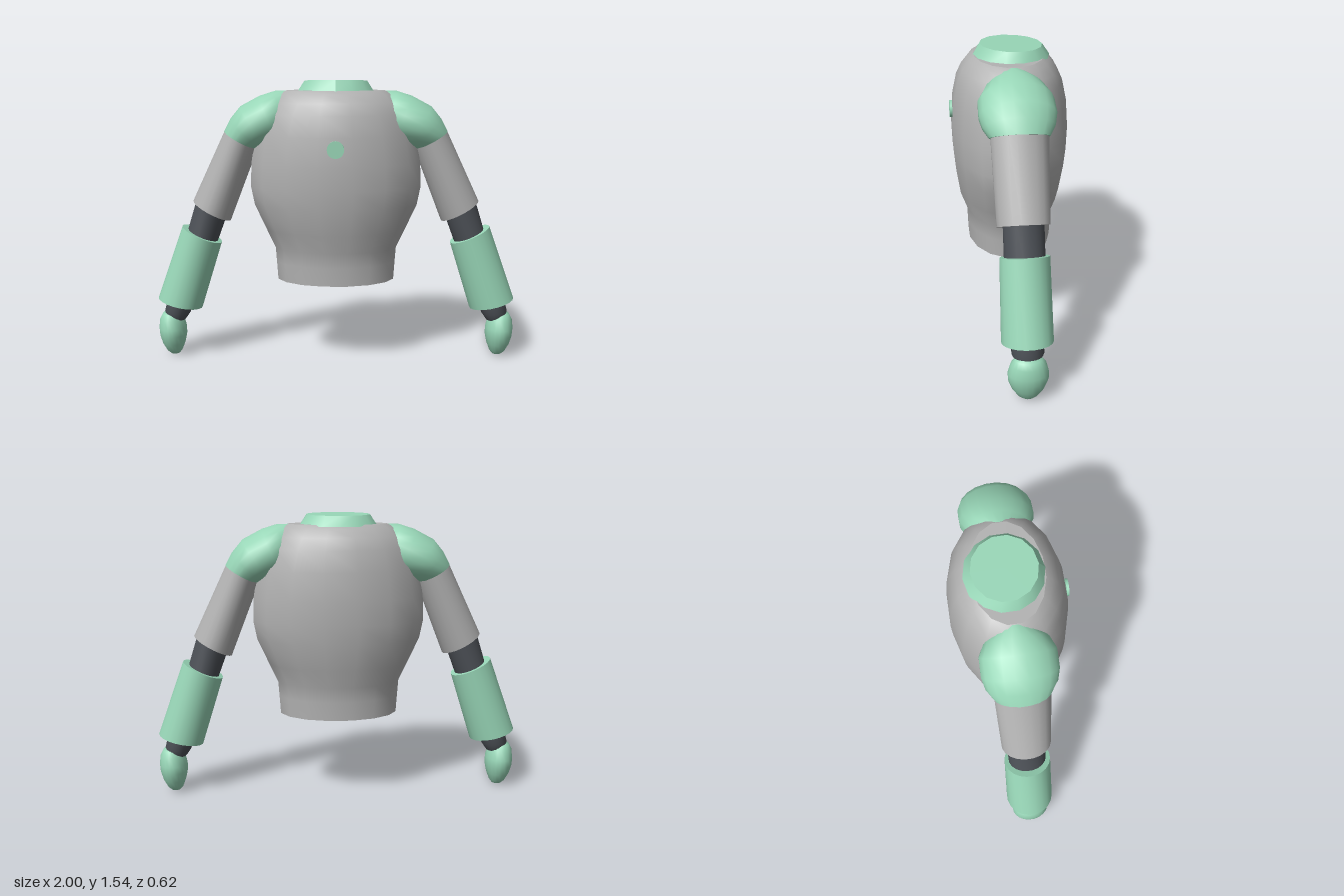
import * as THREE from 'three';

const mat = (name, color) => {
  const m = new THREE.MeshStandardMaterial({ color });
  m.name = name;
  return m;
};

// Closed smooth loft through elliptical sections [x1, y1, x2, y2, rz]:
// (x1, y1) and (x2, y2) are the ellipse's two ends in the z = 0 plane.
// side = -1 mirrors it across x.
function loft(sections, side = 1, n = 20) {
  const pos = [], index = [];
  const ring = ([x1, y1, x2, y2, rz]) => {
    const a = side > 0 ? [x1, y1] : [-x2, y2];
    const b = side > 0 ? [x2, y2] : [-x1, y1];
    const start = pos.length / 3;
    for (let i = 0; i < n; i++) {
      const t = ((i + 0.5) / n) * Math.PI * 2;
      const k = (1 + Math.cos(t)) / 2;
      pos.push(b[0] + (a[0] - b[0]) * k, b[1] + (a[1] - b[1]) * k, rz * Math.sin(t));
    }
    return start;
  };
  const rings = sections.map(ring);
  for (let s = 0; s < rings.length - 1; s++) {
    for (let i = 0; i < n; i++) {
      const j = (i + 1) % n, a = rings[s], b = rings[s + 1];
      index.push(a + i, a + j, b + i, a + j, b + j, b + i);
    }
  }
  // End caps with their own vertices, so the rims stay sharp
  [sections[0], sections[sections.length - 1]].forEach((sec, end) => {
    const r = ring(sec), c = pos.length / 3;
    pos.push((side * (sec[0] + sec[2])) / 2, (sec[1] + sec[3]) / 2, 0);
    for (let i = 0; i < n; i++) {
      const j = (i + 1) % n;
      if (end) index.push(c, r + i, r + j);
      else index.push(c, r + j, r + i);
    }
  });
  const g = new THREE.BufferGeometry();
  g.setAttribute('position', new THREE.Float32BufferAttribute(pos, 3));
  g.setIndex(index);
  g.computeVertexNormals();
  return g;
}

// Upright section centred on x
const level = (x, y, rx, rz) => [x + rx, y, x - rx, y, rz];

export function createModel() {
  const mint = mat('mint', 0x98d6b7);
  const grey = mat('light grey', 0xb2b2b2);
  const dark = mat('dark joint', 0x4c5056);
  const model = new THREE.Group();
  model.name = 'armouredTorso';

  const add = (parent, name, geometry, material) => {
    const mesh = new THREE.Mesh(geometry, material);
    mesh.name = name;
    parent.add(mesh);
    return mesh;
  };

  // Barrel-shaped torso narrowing to a waist
  add(model, 'torso', loft([
    level(0, 1.485, 0.27, 0.185), level(0, 1.465, 0.31, 0.215),
    level(0, 1.42, 0.355, 0.25), level(0, 1.36, 0.4, 0.277),
    level(0, 1.25, 0.44, 0.3), level(0, 1.1, 0.465, 0.31),
    level(0, 0.97, 0.47, 0.305), level(0, 0.87, 0.45, 0.295),
    level(0, 0.73, 0.385, 0.273), level(0, 0.63, 0.338, 0.236),
    level(0, 0.55, 0.332, 0.231), level(0, 0.45, 0.325, 0.227),
  ], 1, 16), grey);

  // Neck ring: sloped collar with a flat top
  const collar = new THREE.CylinderGeometry(0.172, 0.212, 0.06, 14);
  const p = collar.attributes.position;
  for (let i = 0; i < p.count; i++) {
    if (p.getY(i) > 0) p.setY(i, 0.03 + p.getZ(i) * 0.03);
  }
  collar.computeVertexNormals();
  const neck = add(model, 'neckCollar', collar, mint);
  neck.position.set(0, 1.506, -0.012);
  neck.scale.z = 0.95;

  // Round chest button
  const button = add(model, 'chestButton', new THREE.CylinderGeometry(0.045, 0.045, 0.014, 20), mint);
  button.rotation.x = Math.PI / 2;
  button.position.set(0, 1.19, 0.307);

  for (const side of [1, -1]) {
    const arm = new THREE.Group();
    arm.name = side > 0 ? 'leftArm' : 'rightArm';
    model.add(arm);

    // Domed shoulder plate sinking into the torso
    add(arm, 'shoulderPlate', loft([
      [0.255, 1.485, 0.22, 1.3, 0.08], [0.33, 1.483, 0.25, 1.25, 0.155],
      [0.41, 1.458, 0.3, 1.215, 0.19], [0.515, 1.402, 0.36, 1.19, 0.192],
      [0.57, 1.335, 0.4, 1.18, 0.178], [0.606, 1.267, 0.433, 1.17, 0.148],
    ], side), mint);

    add(arm, 'upperArm', loft([
      [0.598, 1.28, 0.42, 1.19, 0.142], [0.785, 0.885, 0.582, 0.773, 0.13],
    ], side), grey);

    add(arm, 'elbow', loft([
      [0.77, 0.88, 0.604, 0.8, 0.1], [0.82, 0.72, 0.66, 0.65, 0.1],
    ], side), dark);

    add(arm, 'forearm', loft([
      [0.85, 0.743, 0.636, 0.647, 0.122], [0.997, 0.335, 0.754, 0.273, 0.128],
    ], side), mint);

    add(arm, 'wrist', loft([
      [0.945, 0.33, 0.81, 0.29, 0.08], [0.965, 0.255, 0.822, 0.245, 0.08],
      [0.95, 0.215, 0.85, 0.205, 0.06],
    ], side), dark);

    // Rounded mitten hand
    add(arm, 'hand', loft([
      level(0.93, 0.252, 0.025, 0.04), level(0.93, 0.24, 0.048, 0.068),
      level(0.927, 0.21, 0.067, 0.088), level(0.924, 0.16, 0.076, 0.101),
      level(0.922, 0.12, 0.075, 0.1), level(0.92, 0.07, 0.063, 0.082),
      level(0.917, 0.025, 0.043, 0.052), level(0.915, 0.006, 0.026, 0.028),
      level(0.915, 0, 0.008, 0.01),
    ], side), mint);
  }
  return model;
}
